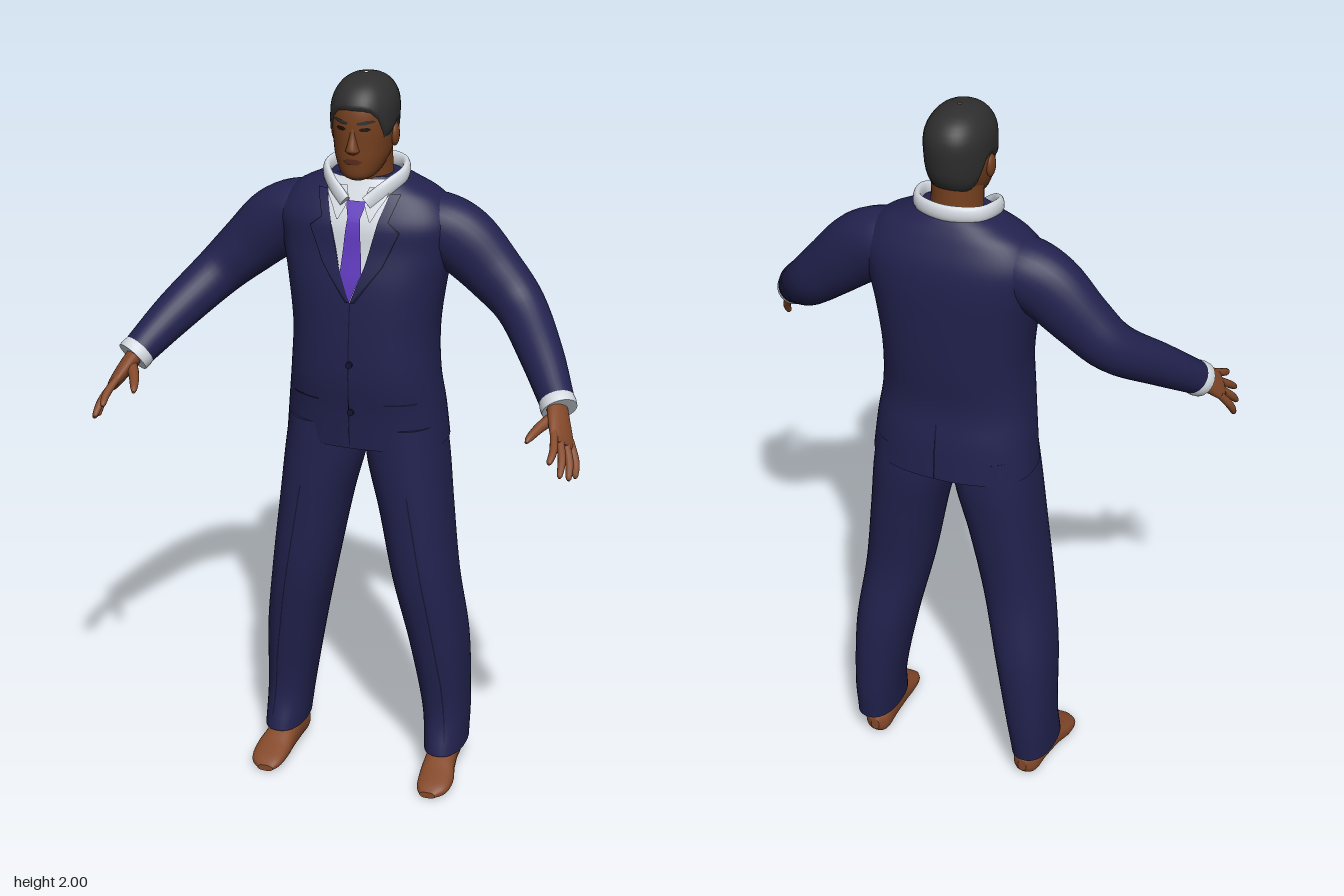
import * as THREE from 'three';

const mat = (name, color) => { const m = new THREE.MeshStandardMaterial({ color }); m.name = name; return m; };
const V = (x, y, z) => new THREE.Vector3(x, y, z);
const X = V(1, 0, 0), Y = V(0, 1, 0), Z = V(0, 0, 1);

function buildGeometry(pos, idx) {
  const g = new THREE.BufferGeometry();
  g.setAttribute('position', new THREE.Float32BufferAttribute(pos, 3));
  g.setIndex(idx);
  g.computeVertexNormals();
  return g;
}

// Smooth body through rings [x, y, z, r1, r2]; r1 lies along ref, r2 across it.
// With a fixed axis all rings are parallel; n is the squareness of the section.
function loft(rings, { ref = X, axis = null, n = 2, steps = 5, sides = 28 } = {}) {
  const centres = new THREE.CatmullRomCurve3(rings.map(r => V(r[0], r[1], r[2])), false, 'catmullrom');
  const radii = new THREE.CatmullRomCurve3(rings.map(r => V(r[3], r[4], 0)), false, 'catmullrom');
  const count = (rings.length - 1) * steps, pos = [], idx = [];
  const power = v => Math.sign(v) * Math.abs(v) ** (2 / n);
  const ring = t => {
    const c = centres.getPoint(t), r = radii.getPoint(t);
    const T = axis || centres.getTangent(t);
    const U = ref.clone().addScaledVector(T, -ref.dot(T)).normalize();
    const W = T.clone().cross(U);
    for (let j = 0; j < sides; j++) {
      const a = j / sides * Math.PI * 2;
      const p = c.clone().addScaledVector(U, r.x * power(Math.cos(a))).addScaledVector(W, r.y * power(Math.sin(a)));
      pos.push(p.x, p.y, p.z);
    }
    return c;
  };
  for (let i = 0; i <= count; i++) ring(i / count);
  for (let i = 0; i < count; i++) for (let j = 0; j < sides; j++) {
    const k = (j + 1) % sides, a = i * sides + j, b = i * sides + k;
    idx.push(a, b, a + sides, b, b + sides, a + sides);
  }
  for (const end of [0, 1]) {
    const base = pos.length / 3, c = ring(end);
    pos.push(c.x, c.y, c.z);
    for (let j = 0; j < sides; j++) {
      const k = (j + 1) % sides;
      idx.push(base + sides, base + (end ? j : k), base + (end ? k : j));
    }
  }
  // Section at a given height, for upright bodies
  const at = y => {
    let lo = 0, hi = 1;
    for (let i = 0; i < 30; i++) { const m = (lo + hi) / 2; if (centres.getPoint(m).y < y) lo = m; else hi = m; }
    return { c: centres.getPoint(lo), r: radii.getPoint(lo) };
  };
  const surfaceZ = (x, y, side = 1) => {
    const { c, r } = at(y);
    return c.z + side * r.y * Math.max(0, 1 - Math.abs((x - c.x) / r.x) ** n) ** (1 / n);
  };
  return { geometry: buildGeometry(pos, idx), at, surfaceZ };
}

// Thin panel laid over a body; rows [y, x1, x2] run upward
function drape(body, rows, offset, side = 1) {
  const pos = [], idx = [], cols = 8, sub = 6, count = (rows.length - 1) * sub;
  for (let i = 0; i <= count; i++) {
    const k = Math.min(Math.floor(i / sub), rows.length - 2), f = i / sub - k;
    const [y, p, q] = rows[k].map((v, m) => v + (rows[k + 1][m] - v) * f);
    for (let j = 0; j <= cols; j++) {
      const x = Math.min(p, q) + Math.abs(q - p) * j / cols;
      pos.push(x, y, body.surfaceZ(x, y, side) + side * offset);
    }
  }
  for (let i = 0; i < count; i++) for (let j = 0; j < cols; j++) {
    const a = i * (cols + 1) + j, b = a + 1, c = a + cols + 1, d = c + 1;
    if (side > 0) idx.push(a, b, c, b, d, c); else idx.push(a, c, b, b, c, d);
  }
  return buildGeometry(pos, idx);
}

export function createModel() {
  const model = new THREE.Group();
  model.name = 'suitedMan';
  const suit = mat('navy suit', 0x22224f), seam = mat('dark seam', 0x14142f), skin = mat('skin', 0x84492a);
  const face = mat('face skin', 0x75401f), hair = mat('hair', 0x2e2e2e), shirt = mat('shirt', 0xd3d9e0);
  const tieMat = mat('tie', 0x5f38bd), dark = mat('eye dark', 0x1d110b), lip = mat('lips', 0x5c2c1b);
  const add = (name, geometry, material) => {
    const m = new THREE.Mesh(geometry, material);
    m.name = name;
    model.add(m);
    return m;
  };
  const mirrored = (rings, s) => rings.map(r => [r[0] * s, ...r.slice(1)]);

  // Jacket body
  const jacket = loft([
    [0, 1.0, -0.13, 0.222, 0.146], [0, 1.1, -0.122, 0.212, 0.147], [0, 1.2, -0.108, 0.2, 0.147],
    [0, 1.32, -0.113, 0.196, 0.152], [0, 1.45, -0.12, 0.212, 0.15], [0, 1.55, -0.13, 0.232, 0.14],
    [0, 1.62, -0.13, 0.24, 0.13], [0, 1.68, -0.132, 0.2, 0.103], [0, 1.715, -0.132, 0.135, 0.083],
    [0, 1.735, -0.13, 0.09, 0.07]], { axis: Y, n: 2.4, sides: 48 });
  add('jacket', jacket.geometry, suit);
  add('shirtFront', drape(jacket, [[1.42, -0.002, 0.002], [1.5, -0.032, 0.032], [1.6, -0.056, 0.056],
    [1.7, -0.085, 0.085], [1.73, -0.08, 0.08]], 0.004), shirt);
  add('tie', drape(jacket, [[1.425, -0.001, 0.001], [1.5, -0.029, 0.029], [1.63, -0.018, 0.018],
    [1.64, -0.017, 0.017], [1.68, -0.028, 0.028]], 0.01), tieMat);
  add('frontSeam', drape(jacket, [[1.01, -0.008, -0.005], [1.42, -0.002, 0.001]], 0.003), seam);
  add('backVent', drape(jacket, [[1.005, -0.002, 0.002], [1.16, -0.002, 0.002]], 0.003, -1), seam);
  for (const y of [1.11, 1.25]) {
    const button = add('button', new THREE.CylinderGeometry(0.009, 0.009, 0.008, 14).rotateX(Math.PI / 2), seam);
    button.position.set(0, y, jacket.surfaceZ(0, y) + 0.004);
  }

  // Shirt collar around the neck
  const half = [[0.03, 1.675, -0.015], [0.075, 1.715, -0.045], [0.104, 1.738, -0.1], [0.08, 1.746, -0.172]];
  const collarPath = [...half, [0, 1.748, -0.2], ...mirrored(half, -1).reverse()];
  add('collar', loft(collarPath.map(p => [...p, 0.022, 0.011]), { ref: Y }).geometry, shirt);

  // Neck and head
  add('neck', loft([[0, 1.67, -0.13, 0.07, 0.065], [0, 1.75, -0.118, 0.066, 0.069], [0, 1.83, -0.11, 0.064, 0.075]],
    { axis: Y }).geometry, face);
  const head = loft([
    [0, 1.738, -0.035, 0.022, 0.025], [0, 1.752, -0.052, 0.047, 0.06], [0, 1.79, -0.076, 0.067, 0.089],
    [0, 1.83, -0.09, 0.076, 0.104], [0, 1.88, -0.094, 0.081, 0.109], [0, 1.93, -0.098, 0.079, 0.106],
    [0, 1.965, -0.1, 0.063, 0.084], [0, 1.985, -0.1, 0.038, 0.05], [0, 1.993, -0.1, 0.004, 0.005]],
    { axis: Y, n: 2.15, sides: 40 });
  add('head', head.geometry, face);
  add('nose', loft([[0, 1.812, 0.008, 0.008, 0.006], [0, 1.822, 0.013, 0.018, 0.019], [0, 1.833, 0.013, 0.015, 0.02],
    [0, 1.86, 0.009, 0.009, 0.012], [0, 1.888, 0.006, 0.007, 0.007]], { axis: Y, sides: 16 }).geometry, face);
  add('mouth', drape(head, [[1.786, -0.014, 0.014], [1.794, -0.026, 0.026], [1.801, -0.012, 0.012]], 0.003), lip);

  // Short hair following the skull above a hairline, sampled every 15 degrees from the brow
  const hairline = [1.925, 1.925, 1.92, 1.9, 1.85, 1.85, 1.875, 1.87, 1.815, 1.79, 1.78, 1.775, 1.775];
  const hp = [], hi = [], around = 48, up = 16;
  for (let k = 0; k <= up; k++) for (let j = 0; j < around; j++) {
    const a = j / around * Math.PI * 2, d = Math.min(a, Math.PI * 2 - a) / Math.PI * 12;
    const q = Math.min(Math.floor(d), 11), low = hairline[q] + (hairline[q + 1] - hairline[q]) * (d - q);
    const y = low + (1.993 - low) * Math.sin(k / up * Math.PI / 2);
    const { c, r } = head.at(y), s = k ? 1.055 : 0.985;
    const bend = v => Math.sign(v) * Math.abs(v) ** (2 / 2.15);
    hp.push(r.x * bend(Math.sin(a)) * s, 1.87 + (y - 1.87) * (k ? 1.055 : 1), -0.097 + (c.z + 0.097 + r.y * bend(Math.cos(a))) * s);
    if (k < up) {
      const p = k * around + j, n = k * around + (j + 1) % around;
      hi.push(p, n, p + around, n, n + around, p + around);
    }
  }
  add('hair', buildGeometry(hp, hi), hair);

  for (const s of [1, -1]) {
    const side = s > 0 ? 'left' : 'right';
    const limb = (name, rings, material, options) => {
      const body = loft(mirrored(rings, s), options);
      add(side + name, body.geometry, material);
      return body;
    };
    const panel = (name, body, rows, offset, material) =>
      add(side + name, drape(body, rows.map(([y, p, q]) => [y, p * s, q * s]), offset), material);

    // Face details
    panel('Eyebrow', head, [[1.892, 0.013, 0.03], [1.898, 0.012, 0.056], [1.903, 0.035, 0.05]], 0.003, hair);
    panel('Eye', head, [[1.875, 0.024, 0.038], [1.88, 0.017, 0.046], [1.885, 0.024, 0.04]], 0.003, dark);
    const ear = add(side + 'Ear', new THREE.SphereGeometry(1, 14, 10).scale(0.011, 0.031, 0.02), face);
    ear.position.set(0.08 * s, 1.845, -0.095);

    // Lapel, collar wing and pocket
    panel('LapelEdge', jacket, [[1.42, 0, 0.012], [1.52, 0.038, 0.083], [1.61, 0.06, 0.122], [1.635, 0.066, 0.09],
      [1.7, 0.086, 0.112]], 0.005, seam);
    panel('Lapel', jacket, [[1.425, 0.002, 0.008], [1.52, 0.036, 0.079], [1.608, 0.058, 0.118], [1.635, 0.064, 0.088],
      [1.7, 0.084, 0.109]], 0.008, suit);
    panel('CollarWing', jacket, [[1.635, 0.042, 0.046], [1.665, 0.027, 0.062], [1.69, 0.022, 0.078], [1.715, 0.03, 0.085]], 0.013, shirt);
    panel('Pocket', jacket, [[1.135, 0.09, 0.17], [1.14, 0.09, 0.17]], 0.003, seam);

    // Sleeve and cuff
    limb('Sleeve', [[0.1, 1.605, -0.138, 0.07, 0.07], [0.18, 1.6, -0.138, 0.085, 0.087], [0.255, 1.562, -0.137, 0.078, 0.094],
      [0.34, 1.485, -0.132, 0.068, 0.081], [0.42, 1.408, -0.108, 0.063, 0.068], [0.505, 1.32, -0.005, 0.054, 0.058],
      [0.572, 1.24, 0.092, 0.044, 0.046]], suit, { ref: Z });
    limb('Cuff', [[0.565, 1.248, 0.082, 0.042, 0.044], [0.575, 1.236, 0.097, 0.047, 0.048], [0.583, 1.226, 0.109, 0.046, 0.047]],
      shirt, { ref: Z });

    // Hand with four fingers and a thumb
    const across = V(-0.49 * s, 0.57, 0.65);
    limb('Palm', [[0.57, 1.242, 0.092, 0.03, 0.024], [0.59, 1.208, 0.14, 0.039, 0.021], [0.608, 1.176, 0.178, 0.044, 0.016],
      [0.614, 1.165, 0.192, 0.036, 0.009]], skin, { ref: across });
    [[0.6, 1.15, 0.283], [0.627, 1.113, 0.275], [0.643, 1.094, 0.242], [0.65, 1.083, 0.2]].forEach((tip, i) => {
      const k = 0.035 - i * 0.0233;
      const base = [0.608 - 0.49 * k, 1.176 + 0.57 * k, 0.178 + 0.65 * k];
      const along = (f, lift, r) => [...base.map((b, m) => b + (tip[m] - b) * f + (m === 0 ? lift : 0)), r, r];
      limb('Finger', [along(-0.1, 0, 0.01), along(0.5, 0.007, 0.0105), along(0.9, 0.002, 0.008), along(1, 0, 0.003)],
        skin, { ref: across, sides: 12, steps: 4 });
    });
    limb('Thumb', [[0.578, 1.218, 0.135, 0.017, 0.017], [0.552, 1.203, 0.178, 0.014, 0.014], [0.535, 1.188, 0.22, 0.01, 0.01],
      [0.53, 1.18, 0.237, 0.004, 0.004]], skin, { ref: Y, sides: 12 });

    // Trouser leg with a pressed crease
    const leg = limb('TrouserLeg', [[0.235, 0.08, -0.122, 0.056, 0.104], [0.228, 0.2, -0.142, 0.063, 0.098],
      [0.207, 0.4, -0.132, 0.078, 0.112], [0.173, 0.6, -0.11, 0.088, 0.115], [0.142, 0.8, -0.115, 0.097, 0.125],
      [0.116, 0.95, -0.122, 0.108, 0.132], [0.105, 1.06, -0.122, 0.104, 0.13]], suit, { axis: Y, n: 2.3, steps: 7, sides: 36 });
    const crease = [0.12, 0.3, 0.5, 0.7, 0.87].map(y => {
      const x = leg.at(y).c.x * s + 0.02;
      return [y, x - 0.0018, x + 0.0018];
    });
    panel('Crease', leg, crease, 0.002, seam);

    // Bare foot and ankle
    limb('Foot', [[0.225, 0.038, -0.203, 0.012, 0.018], [0.227, 0.044, -0.18, 0.036, 0.042], [0.23, 0.05, -0.12, 0.04, 0.05],
      [0.236, 0.04, -0.05, 0.044, 0.04], [0.242, 0.028, 0, 0.049, 0.028], [0.243, 0.018, 0.05, 0.043, 0.018],
      [0.238, 0.011, 0.078, 0.022, 0.009]], skin, { axis: Z, n: 2.4 });
    limb('Ankle', [[0.23, 0.04, -0.135, 0.038, 0.05], [0.234, 0.1, -0.13, 0.037, 0.05], [0.234, 0.16, -0.135, 0.036, 0.045]],
      skin, { axis: Y });
  }
  return model;
}
